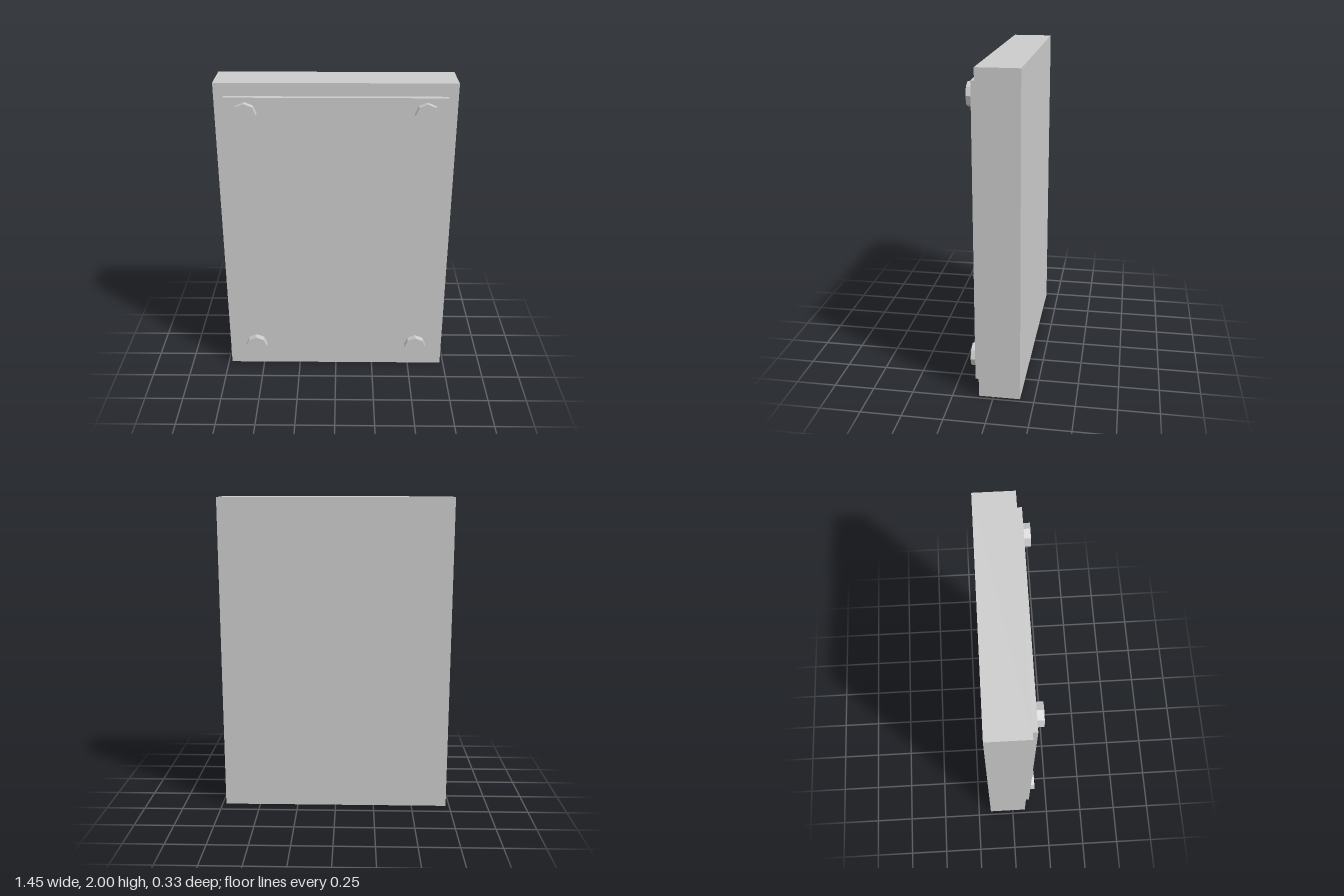
import * as THREE from 'three';

export function createModel() {
  const model = new THREE.Group();
  const material = new THREE.MeshStandardMaterial({ color: 0xcccccc, flatShading: true });

  const add = (name, geometry, x, y, z) => {
    const mesh = new THREE.Mesh(geometry, material);
    mesh.name = name;
    mesh.position.set(x, y, z);
    model.add(mesh);
  };

  // box spanning the given half width, heights and depths
  const slab = (name, halfWidth, y0, y1, z0, z1) =>
    add(name, new THREE.BoxGeometry(halfWidth * 2, y1 - y0, z1 - z0), 0, (y0 + y1) / 2, (z0 + z1) / 2);

  // thick backing block and the thin raised plate on its front
  slab('backingBlock', 0.727, 0, 2, -0.163, 0.09);
  slab('frontPlate', 0.668, 0.08, 1.92, 0.09, 0.122);

  // eight-sided bolt heads near the plate's corners
  const boltGeometry = new THREE.CylinderGeometry(0.072, 0.072, 0.041, 8).rotateX(Math.PI / 2);
  for (const x of [-0.541, 0.541]) {
    for (const y of [0.18, 1.822]) {
      const name = (y > 1 ? 'upper' : 'lower') + (x > 0 ? 'Left' : 'Right') + 'Bolt';
      add(name, boltGeometry, x, y, 0.1425);
    }
  }

  return model;
}
